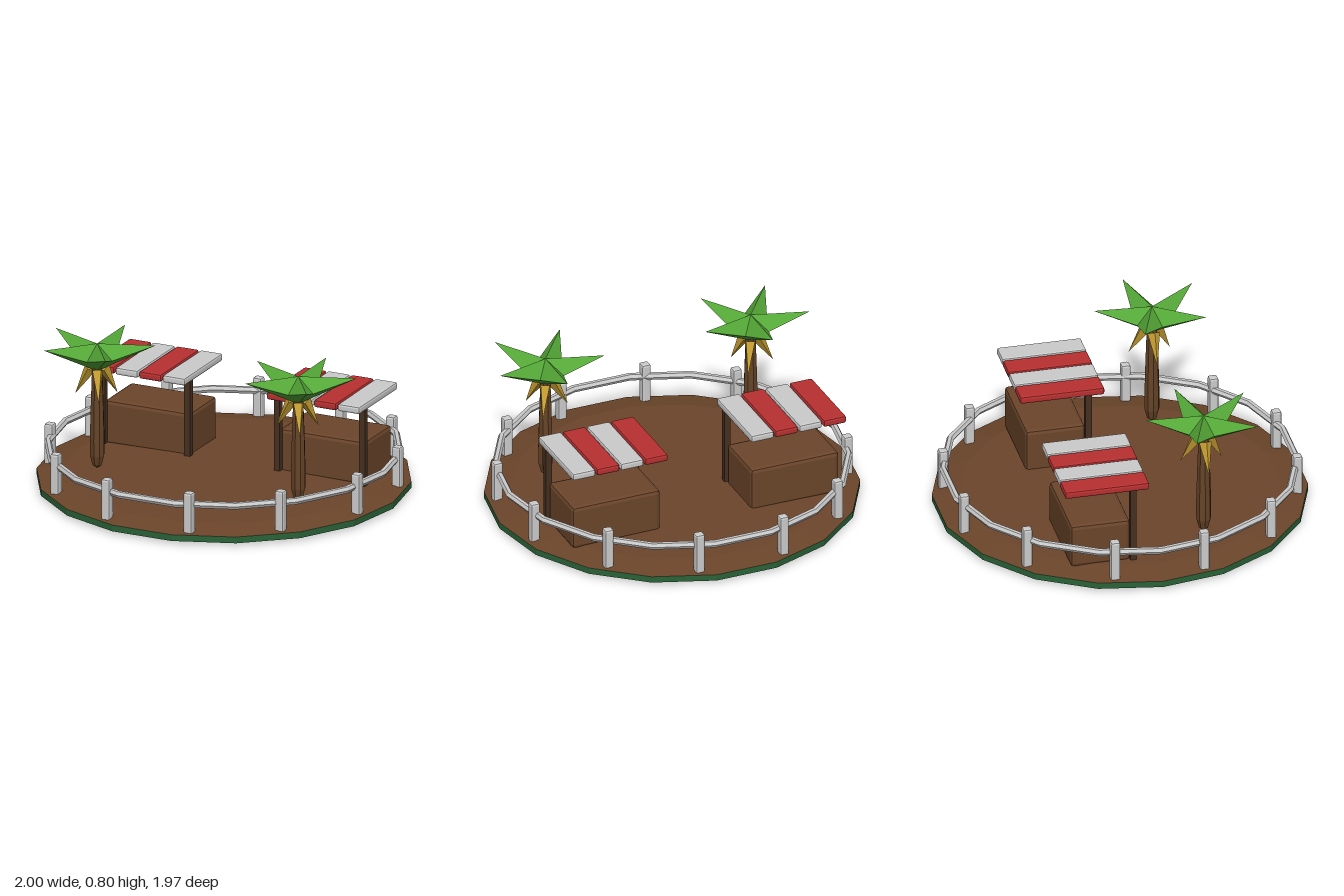
import * as THREE from 'three';
import { RoundedBoxGeometry } from 'three/addons/geometries/RoundedBoxGeometry.js';

const mat = (color, side = THREE.FrontSide) =>
  new THREE.MeshStandardMaterial({ color, flatShading: true, side });
const grey = mat(0xcccccc);
const red = mat(0xb83030);
const earth = mat(0x6b452a);
const bark = mat(0x664428);
const darkWood = mat(0x463020);
const grass = mat(0x2a6238);
const leafGreen = mat(0x55a838, THREE.DoubleSide);
const yellow = mat(0xc8a032);

function part(name, geometry, material, x = 0, y = 0, z = 0) {
  const mesh = new THREE.Mesh(geometry, material);
  mesh.name = name;
  mesh.position.set(x, y, z);
  return mesh;
}

// Box with a single chamfer along every edge
const chamferBox = (w, h, d, bevel) => new RoundedBoxGeometry(w, h, d, 1, bevel);

const lathe = (profile, sides) =>
  new THREE.LatheGeometry(profile.map(([r, y]) => new THREE.Vector2(r, y)), sides);

// Eighteen-sided island: green underside and rim, gently domed earth on top
function makeIsland() {
  const island = new THREE.Group();
  island.name = 'island';
  island.add(
    part('grassRim', lathe([[0, 0], [0.4, 0], [1, 0.015], [1, 0.05]], 18), grass),
    part('ground', lathe([[1, 0.05], [0.85, 0.075], [0.4, 0.083], [0, 0.085]], 18), earth)
  );
  island.rotation.y = Math.PI / 2;
  return island;
}

// Ring rail carried by twelve posts
function makeFence() {
  const fence = new THREE.Group();
  fence.name = 'fence';
  const rail = part('fenceRail', new THREE.TorusGeometry(0.94, 0.02, 6, 18), grey, 0, 0.205, 0);
  rail.rotation.x = Math.PI / 2;
  fence.add(rail);
  const postGeometry = chamferBox(0.052, 0.235, 0.052, 0.012);
  for (let i = 0; i < 12; i++) {
    const a = ((i + 0.5) * Math.PI) / 6;
    fence.add(part('fencePost', postGeometry, grey, Math.cos(a) * 0.94, 0.16, Math.sin(a) * 0.94));
  }
  return fence;
}

// Market stall: counter, two uprights and a striped awning
function makeStall(x) {
  const stall = new THREE.Group();
  stall.name = 'stall';
  stall.position.x = x;
  stall.add(part('counter', chamferBox(0.51, 0.25, 0.325, 0.022), earth, 0, 0.187, -0.288));
  for (const side of [-1, 1]) {
    stall.add(part('awningPost', new THREE.BoxGeometry(0.034, 0.45, 0.034), darkWood, side * 0.252, 0.29, -0.112));
  }
  const slat = chamferBox(0.132, 0.042, 0.46, 0.012);
  for (let i = 0; i < 4; i++) {
    stall.add(part('awningSlat', slat, i % 2 ? grey : red, -0.005 + (i - 1.5) * 0.14, 0.521, -0.257));
  }
  return stall;
}

// One star-shaped crown: each leaf has a level ridge, sloping sides and a keel below
function crownGeometry() {
  const points = [];
  const polar = (r, a, y) => [Math.sin(a) * r, y, -Math.cos(a) * r];
  const top = [0, 0.795, 0];
  const bottom = [0, 0.64, 0];
  for (let i = 0; i < 5; i++) {
    const a = (i * Math.PI * 2) / 5 + 0.03;
    const tip = polar(0.315, a, 0.803);
    const notchA = polar(0.115, a - Math.PI / 5, 0.725);
    const notchB = polar(0.115, a + Math.PI / 5, 0.725);
    points.push(
      ...top, ...tip, ...notchA, ...top, ...notchB, ...tip,
      ...bottom, ...notchA, ...tip, ...bottom, ...tip, ...notchB
    );
  }
  const geometry = new THREE.BufferGeometry();
  geometry.setAttribute('position', new THREE.Float32BufferAttribute(points, 3));
  geometry.computeVertexNormals();
  return geometry;
}

// Palm tree: tapered trunk, star crown and three hanging dry fronds
function makePalm(x) {
  const palm = new THREE.Group();
  palm.name = 'palmTree';
  palm.position.set(x, 0, 0.315);
  const trunk = [[0, 0.095], [0.026, 0.115], [0.04, 0.17], [0.041, 0.26], [0.036, 0.45], [0.03, 0.62], [0.025, 0.7], [0, 0.71]];
  palm.add(part('trunk', lathe(trunk, 8), bark));
  palm.add(part('leafCrown', crownGeometry(), leafGreen));

  const down = new THREE.Vector3(0, 1, 0);
  for (let i = 0; i < 3; i++) {
    const a = Math.PI + (i * Math.PI * 2) / 3;
    const start = new THREE.Vector3(Math.cos(a) * 0.04, 0.655, Math.sin(a) * 0.04);
    const tip = new THREE.Vector3(Math.cos(a) * 0.13, 0.495, Math.sin(a) * 0.13);
    const direction = tip.clone().sub(start);
    const frond = part('dryFrond', new THREE.ConeGeometry(0.034, direction.length(), 4), yellow);
    frond.position.copy(start).add(tip).multiplyScalar(0.5);
    frond.quaternion.setFromUnitVectors(down, direction.normalize());
    palm.add(frond);
  }
  return palm;
}

export function createModel() {
  const model = new THREE.Group();
  model.name = 'islandMarket';
  model.add(makeIsland(), makeFence());
  for (const side of [-1, 1]) {
    model.add(makeStall(side * 0.5175), makePalm(side * 0.595));
  }
  return model;
}
